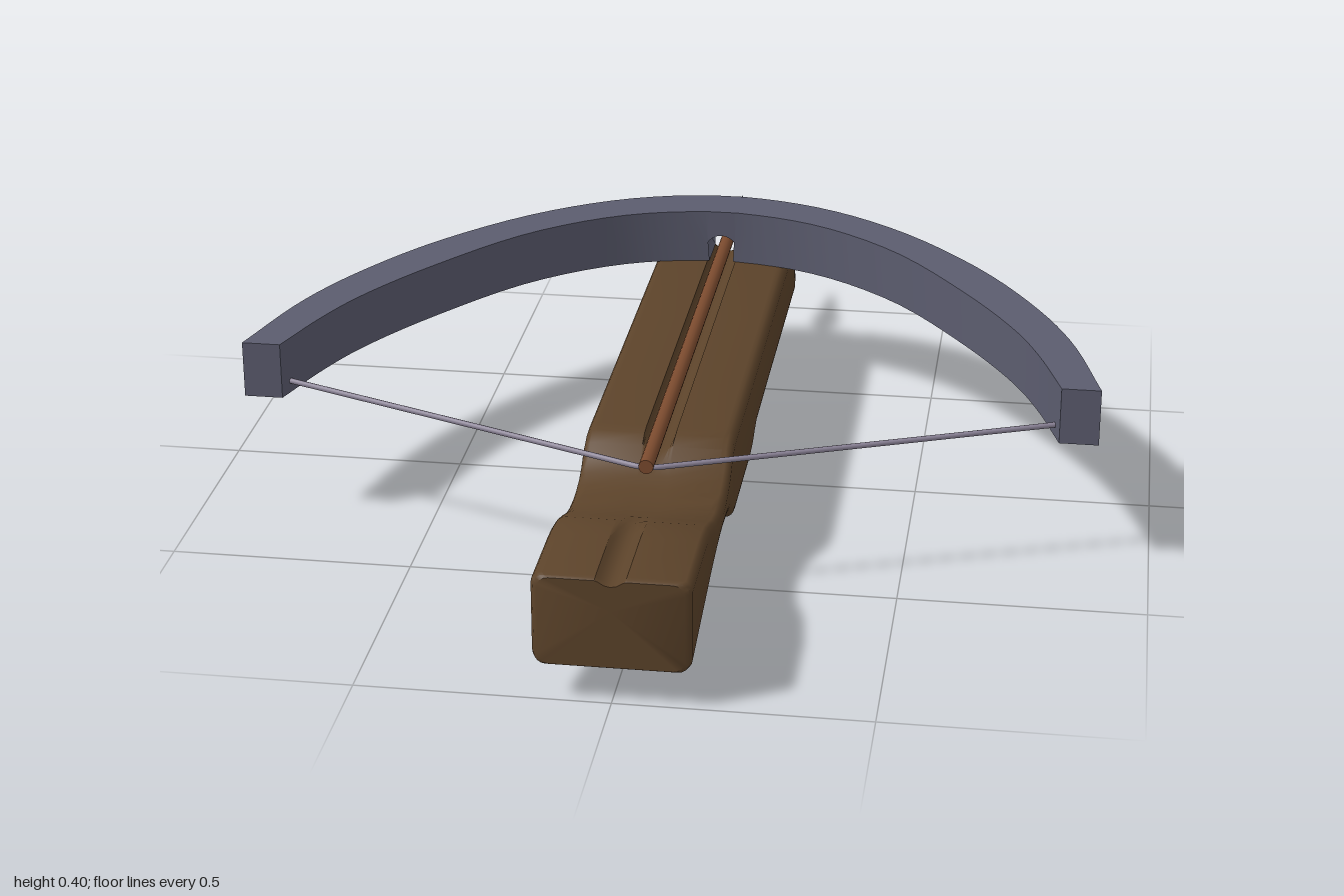
import * as THREE from 'three';
import { toCreasedNormals } from 'three/addons/utils/BufferGeometryUtils.js';

const mat = (color) => new THREE.MeshStandardMaterial({ color });
const WOOD = mat(0x5c432a), METAL = mat(0x5b5c6e), SHAFT = mat(0x7a4a2e), CORD = mat(0x8a8296);

// Skins a row of equal-length rings (counter-clockwise seen from the far end) and caps both ends.
function loft(rings, crease = 0.6) {
  const n = rings[0].length, pos = rings.flat(2), idx = [];
  for (let i = 0; i < rings.length - 1; i++) {
    for (let j = 0; j < n; j++) {
      const a = i * n + j, b = i * n + (j + 1) % n;
      idx.push(a, b, b + n, a, b + n, a + n);
    }
  }
  [0, rings.length - 1].forEach((r, end) => {
    const c = pos.length / 3;
    for (let k = 0; k < 3; k++) pos.push(rings[r].reduce((s, p) => s + p[k], 0) / n);
    for (let j = 0; j < n; j++) {
      const a = r * n + j, b = r * n + (j + 1) % n;
      if (end) idx.push(c, a, b); else idx.push(c, b, a);
    }
  });
  const g = new THREE.BufferGeometry();
  g.setAttribute('position', new THREE.Float32BufferAttribute(pos, 3));
  g.setIndex(idx);
  return toCreasedNormals(g, crease);
}

// Stock cross-section: rounded rectangle with a round bolt groove in its top.
function stockRing([z, top, bot, w = 0.153]) {
  const r = Math.min(0.022, (top - bot) / 2 - 0.001), ring = [];
  const corner = (cx, cy, start) => {
    for (let i = 0; i <= 4; i++) {
      const a = start + (i / 4) * Math.PI / 2;
      ring.push([cx + r * Math.cos(a), cy + r * Math.sin(a), z]);
    }
  };
  corner(w - r, bot + r, -Math.PI / 2);
  corner(w - r, top - r, 0);
  for (let i = 0; i <= 8; i++) {
    const a = (i / 8) * Math.PI;
    ring.push([0.032 * Math.cos(a), Math.min(top, 0.282 - 0.032 * Math.sin(a)), z]);
  }
  corner(-w + r, top - r, Math.PI / 2);
  corner(-w + r, bot + r, Math.PI);
  return ring;
}

function makeStock() {
  // z, top, bottom, half width
  const stations = [
    [-0.808, 0.160, 0.145, 0.135], [-0.80, 0.172, 0.136, 0.147], [-0.78, 0.202, 0.13],
    [-0.735, 0.262, 0.13], [-0.715, 0.275, 0.13], [-0.69, 0.28, 0.13], [-0.25, 0.28, 0.13],
    [-0.02, 0.28, 0.128], [0.02, 0.28, 0.116], [0.05, 0.28, 0.102], [0.09, 0.28, 0.095],
    [0.34, 0.28, 0.095], [0.37, 0.277, 0.098], [0.40, 0.264, 0.12], [0.43, 0.240, 0.137],
    [0.46, 0.224, 0.145], [0.50, 0.214, 0.149], [0.54, 0.211, 0.151], [0.58, 0.213, 0.15],
    [0.63, 0.222, 0.145], [0.68, 0.24, 0.138], [0.73, 0.256, 0.13], [0.78, 0.264, 0.12],
    [0.82, 0.266, 0.112], [0.985, 0.266, 0.079, 0.153], [0.995, 0.265, 0.077, 0.148], [1, 0.262, 0.08, 0.14],
  ];
  return loft(stations.map(stockRing));
}

// Bow limbs: outer and inner curves in plan, with a round bolt hole at the centre.
function makeBow() {
  const plan = (pts) => new THREE.CatmullRomCurve3(
    [...pts.slice(1).reverse().map(([x, z]) => [-x, z]), ...pts].map(([x, z]) => new THREE.Vector3(x, 0, z)));
  const outer = plan([[0, -0.7], [0.2, -0.66], [0.4, -0.54], [0.6, -0.33], [0.74, -0.11], [0.82, 0.07], [0.885, 0.308]]);
  const inner = plan([[0, -0.59], [0.2, -0.548], [0.4, -0.41], [0.58, -0.18], [0.7, 0.02], [0.755, 0.15], [0.805, 0.308]]);
  const lo = 0.28, hi = 0.4, N = 28, rings = [];
  const side = (s) => {
    const out = [];
    for (let i = 2; i <= N; i++) {
      const t = 0.5 + s * i / (2 * N), o = outer.getPoint(t), n = inner.getPoint(t);
      out.push([[o.x, lo, o.z], [o.x, hi, o.z], [n.x, hi, n.z], [n.x, lo, n.z]]);
    }
    return out;
  };
  rings.push(...side(-1).reverse());
  for (let i = -8; i <= 8; i++) {
    const a = (i / 8) * 2.31, r = 0.037, xt = r * i / 8;
    const xb = r * Math.sin(a), yb = 0.305 + r * Math.cos(a);
    rings.push([[xb, yb, -0.699], [xt, hi, -0.699], [xt, hi, -0.591], [xb, yb, -0.591]]);
  }
  rings.push(...side(1));
  return loft(rings);
}

// Trigger lever: a wide, thin plate curving down and back.
function makeTrigger() {
  const path = new THREE.CatmullRomCurve3([[0.33, 0.103], [0.42, 0.098], [0.52, 0.075], [0.6, 0.046], [0.65, 0.023], [0.685, 0.004]]
    .map(([z, y]) => new THREE.Vector3(0, y, z)));
  const w = 0.083, h = 0.012;
  return loft(path.getPoints(16).map(({ y, z }) =>
    [[-w, y, z], [w, y, z], [w, y + h, z - 0.004], [-w, y + h, z - 0.004]]));
}

export function createModel() {
  const model = new THREE.Group();
  const add = (name, geometry, material) => {
    const mesh = new THREE.Mesh(geometry, material);
    mesh.name = name;
    model.add(mesh);
    return mesh;
  };

  add('stock', makeStock(), WOOD);
  add('bow', makeBow(), METAL);
  add('trigger', makeTrigger(), METAL);

  // Bolt shaft and four-sided head, pointing to -z
  const shaft = new THREE.CylinderGeometry(0.015, 0.015, 1.36, 16);
  shaft.rotateX(-Math.PI / 2).translate(0, 0.291, -0.12);
  add('boltShaft', shaft, SHAFT);

  const head = new THREE.ConeGeometry(1, 0.205, 4);
  head.scale(0.033, 1, 0.047).rotateX(-Math.PI / 2).translate(0, 0.293, -0.8925);
  add('boltHead', toCreasedNormals(head, 0.3), METAL);

  // Drawn string from limb to limb, bent round the bolt's tail
  const points = [[-0.80, 0.305, 0.272], [-0.03, 0.287, 0.545], [0, 0.286, 0.553], [0.03, 0.287, 0.545], [0.80, 0.305, 0.272]]
    .map((p) => new THREE.Vector3(...p));
  const cord = new THREE.CurvePath();
  cord.add(new THREE.LineCurve3(points[0], points[1]));
  cord.add(new THREE.QuadraticBezierCurve3(points[1], new THREE.Vector3(0, 0.286, 0.556), points[3]));
  cord.add(new THREE.LineCurve3(points[3], points[4]));
  add('bowstring', new THREE.TubeGeometry(cord, 120, 0.006, 8), CORD);

  return model;
}
